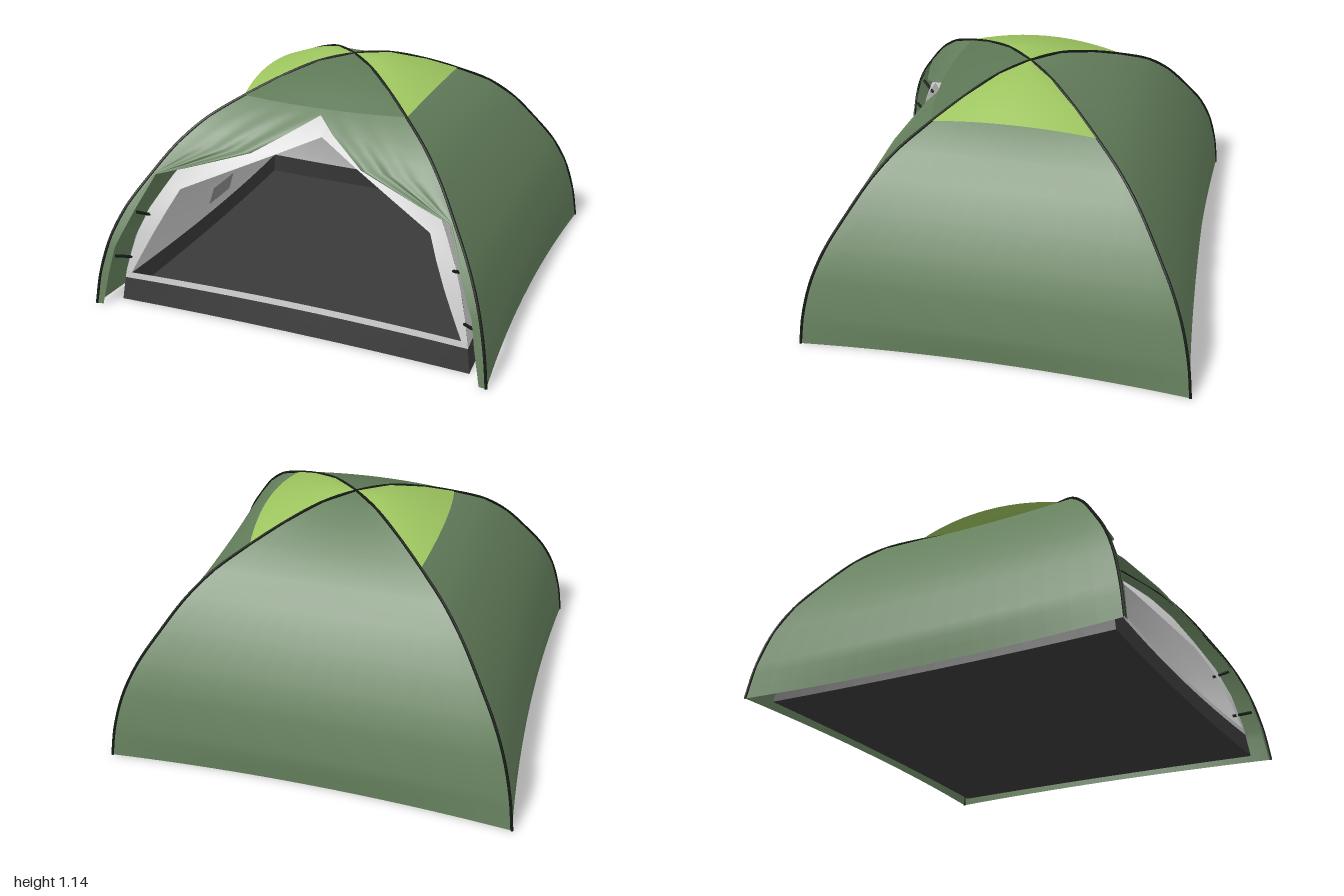
import * as THREE from 'three';

const material = (color) => new THREE.MeshStandardMaterial({ color, side: THREE.DoubleSide });
const GREEN = material(0x65805d), HOOD = material(0x5d7856), LIME = material(0x9dc55f);
const GREY = material(0xcccccc), POCKET = material(0x8c8c8c), DARK = material(0x3a3a3a), BLACK = material(0x151a14);

// pole arc: height -> fraction of the half width
const ARC = [[0, 1], [0.17, 0.976], [0.35, 0.93], [0.5, 0.865], [0.65, 0.77], [0.79, 0.67],
  [0.9, 0.56], [0.99, 0.42], [1.06, 0.29], [1.12, 0.14], [1.136, 0.002]];
// half widths of the openings at each height
const FLY_EDGE = [[0, 0.965], [0.3, 0.905], [0.65, 0.745], [0.7, 0.57], [0.79, 0.28], [0.955, 0], [2, 0]];
const DOOR_EDGE = [[0.15, 0.85], [0.57, 0.64], [0.84, 0], [2, 0]];

function lookup(table, key) {
  for (let i = 1; i < table.length; i++) {
    const [a, va] = table[i - 1], [b, vb] = table[i];
    if (key <= b) return va + (vb - va) * Math.max(0, (key - a) / (b - a));
  }
  return table[table.length - 1][1];
}

// the two shells: half sizes, height scale and how far the cloth sags between poles
const FLY = { X: 1, Z: 0.95, H: 1, sag: (y) => 0.02 + 0.025 * Math.max(0, 1 - y / 0.14) };
const INNER = { X: 0.9, Z: 0.87, H: 0.96, sag: (y) => 0.02 + 0.08 * y };

// point on a shell; facing 0 front, 1 left (+x), 2 back, 3 right; u runs -1..1 between poles
function onShell(shell, facing, u, y, out = 0) {
  const r = lookup(ARC, y / shell.H);
  const [w, d] = facing % 2 ? [shell.Z, shell.X] : [shell.X, shell.Z];
  const a = u * r * w, b = r * d - Math.min(shell.sag(y), r * 0.2) * (1 - u * u) + out;
  return [[a, y, b], [b, y, -a], [-a, y, -b], [-b, y, a]][facing];
}

// cloth sheet from a rule giving the point at row i, column fraction v
function sheet(name, mat, rows, cols, point) {
  const pos = [], index = [], n = cols + 1;
  rows.forEach((row, i) => {
    for (let j = 0; j <= cols; j++) {
      pos.push(...point(row, j / cols));
      if (i && j) {
        const c = i * n + j, d = c - 1, b = c - n, a = b - 1;
        index.push(a, b, c, a, c, d);
      }
    }
  });
  const g = new THREE.BufferGeometry();
  g.setAttribute('position', new THREE.Float32BufferAttribute(pos, 3));
  g.setIndex(index);
  g.computeVertexNormals();
  const mesh = new THREE.Mesh(g, mat);
  mesh.name = name;
  return mesh;
}

function tube(name, points, radius, segments) {
  const curve = new THREE.CatmullRomCurve3(points.map((p) => new THREE.Vector3(...p)));
  const mesh = new THREE.Mesh(new THREE.TubeGeometry(curve, segments, radius, 6), BLACK);
  mesh.name = name;
  return mesh;
}

const range = (a, b, n) => Array.from({ length: n + 1 }, (_, i) => a + (b - a) * i / n);
const heights = ARC.map((p) => p[0]);
const SIDES = ['front', 'left', 'back', 'right'];

export function createModel() {
  const tent = new THREE.Group();
  tent.name = 'domeTent';
  const flyGroup = new THREE.Group(), innerGroup = new THREE.Group();
  flyGroup.name = 'rainFly';
  innerGroup.name = 'innerTent';
  tent.add(flyGroup, innerGroup);

  // closed fly panels on the sides and back
  const flyRows = [0, 0.06, 0.12, ...heights.slice(1)];
  for (const f of [1, 2, 3]) {
    flyGroup.add(sheet(SIDES[f] + 'FlyPanel', GREEN, flyRows, 16,
      (y, v) => onShell(FLY, f, v * 2 - 1, y)));
  }

  // open front of the fly, gathered in pleats above the doorway
  const frontRows = [0, 0.17, 0.3, 0.35, 0.5, 0.65, 0.7, 0.745, 0.79, 0.845, 0.9, 0.955, 0.99, 1.06, 1.12, 1.136];
  for (const s of [-1, 1]) {
    flyGroup.add(sheet(s > 0 ? 'leftFrontFly' : 'rightFrontFly', GREEN, frontRows, 24, (y, v) => {
      const t = s > 0 ? v : 1 - v;
      const inner = Math.min(1, lookup(FLY_EDGE, y) / lookup(ARC, y));
      const pleat = y > 0.65 && y < 0.955 ? Math.min(1, (0.955 - y) / 0.1) : 0;
      return onShell(FLY, 0, s * (inner + (1 - inner) * t), y,
        0.008 * pleat * Math.sin(t * Math.PI * 6) * (1 - t));
    }));
  }

  // roof vents on both sides and a flat hood over the door
  const cap = (name, mat, f, out, up) => sheet(name, mat, [0.99, 1.025, 1.06, 1.09, 1.12, 1.136], 12, (y, v) => {
    const u = v * 2 - 1, k = (1 - u * u) * Math.min(1, lookup(ARC, y) / 0.42);
    const p = onShell({ ...FLY, sag: () => 0 }, f, u, y, out * k);
    p[1] += up * k + 0.002;
    return p;
  });
  flyGroup.add(cap('leftVent', LIME, 1, 0.035, 0.045), cap('rightVent', LIME, 3, 0.035, 0.045),
    cap('doorHood', HOOD, 0, 0.045, 0.002));

  // crossed poles
  for (const s of [-1, 1]) {
    const half = ARC.slice(0, -1).map(([y, r]) => [r * s, y, r * 0.95]);
    const other = half.map(([x, y, z]) => [-x, y, -z]).reverse();
    tent.add(tube('diagonalPole', [...half, [0, 1.136, 0], ...other], 0.007, 80));
  }

  // dark floor tub
  const outline = [0, 1, 2, 3].flatMap((f) => range(-1, 0.75, 7).map((u) => {
    const [x, , z] = onShell(INNER, f, u, 0);
    return new THREE.Vector2(x, -z);
  }));
  const floor = new THREE.Mesh(new THREE.ShapeGeometry(new THREE.Shape(outline)), DARK);
  floor.name = 'floor';
  floor.rotation.x = -Math.PI / 2;
  floor.position.y = 0.004;
  innerGroup.add(floor);

  // tub rim all round, inner walls on the closed sides
  const wallRows = [0.12, 0.17, ...heights.slice(2).map((y) => y * INNER.H)];
  for (let f = 0; f < 4; f++) {
    const at = (y, v) => onShell(INNER, f, v * 2 - 1, y);
    innerGroup.add(sheet(SIDES[f] + 'TubWall', DARK, [0.004, 0.06, 0.12], 12, at));
    if (f) innerGroup.add(sheet(SIDES[f] + 'InnerWall', GREY, wallRows, 14, at));
    else innerGroup.add(sheet('doorSill', GREY, [0.12, 0.15], 12, at));
  }

  // light border around the inner doorway
  const borderRows = [0.15, 0.25, 0.36, 0.47, 0.57, 0.66, 0.75, 0.84, 0.9, 0.96, 1.02, 1.07, 1.09];
  for (const s of [-1, 1]) {
    innerGroup.add(sheet('doorBorder', GREY, borderRows, 6, (y, v) => {
      const t = s > 0 ? v : 1 - v;
      const inner = lookup(DOOR_EDGE, y) / (INNER.X * lookup(ARC, y / INNER.H));
      return onShell(INNER, 0, s * (inner + (1 - inner) * t), y);
    }));
  }

  // pockets inside the side walls
  for (const f of [1, 3]) {
    innerGroup.add(sheet('wallPocket', GREY, [0.18, 0.26, 0.34], 4,
      (y, v) => onShell(INNER, f, (v - 0.5) * 0.4, y, -0.012)));
    innerGroup.add(sheet('pocketMesh', POCKET, [0.21, 0.26, 0.31], 4,
      (y, v) => onShell(INNER, f, (v - 0.5) * 0.28, y, -0.018)));
  }

  // short straps tying the inner tent to the front poles
  for (const s of [-1, 1]) {
    tent.add(tube('upperStrap', [[0.82 * s, 0.47, 0.81], [0.76 * s, 0.43, 0.74]], 0.008, 1));
    tent.add(tube('lowerStrap', [[0.91 * s, 0.25, 0.89], [0.84 * s, 0.22, 0.81]], 0.008, 1));
  }
  return tent;
}
